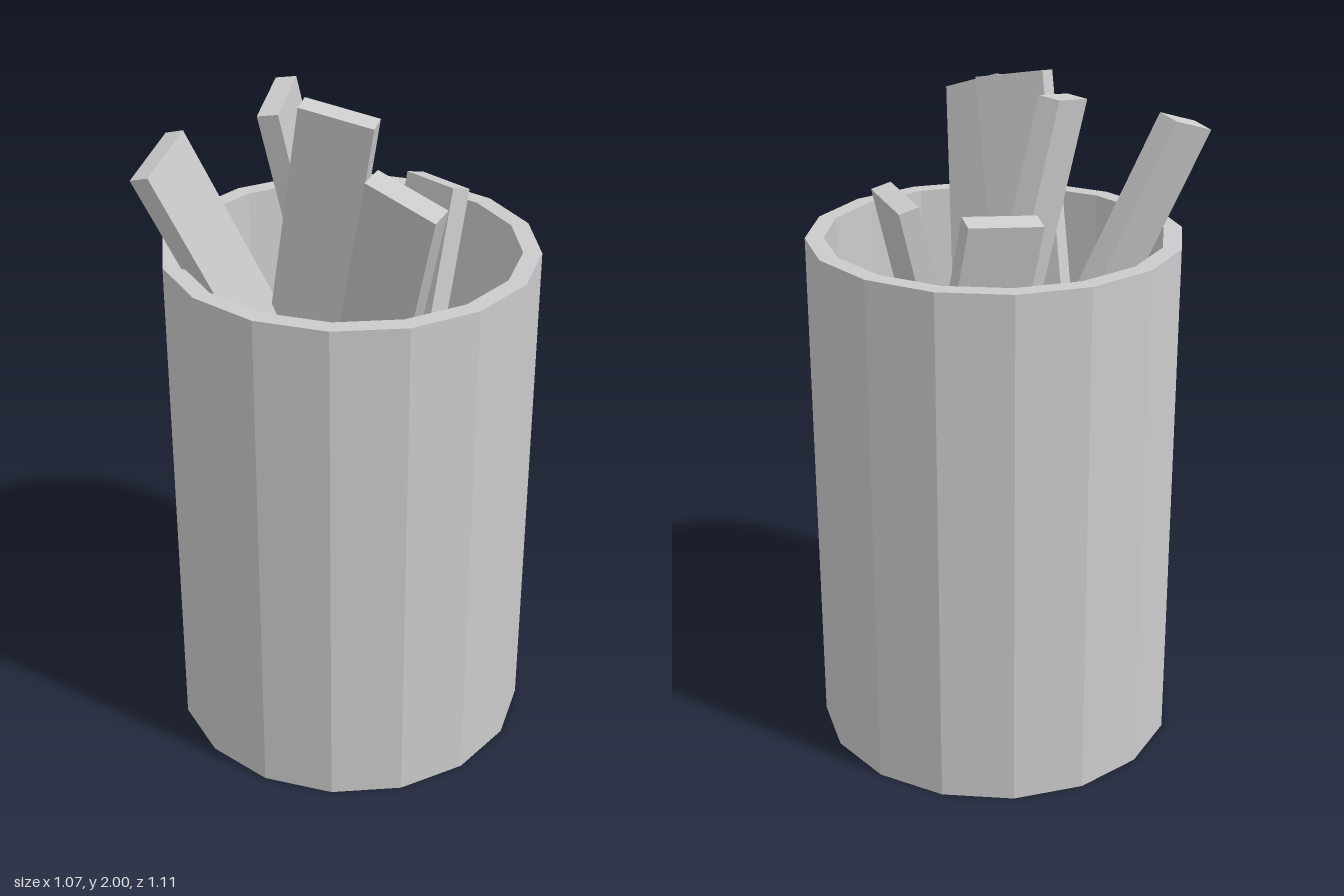
import * as THREE from 'three';

const material = new THREE.MeshStandardMaterial({ color: 0xcccccc, flatShading: true });

// Hollow 16-sided cup with a floor
function makeCup() {
  const outer = 0.537, inner = 0.484, height = 1.545, floor = 0.053;
  const profile = [[0, 0], [outer, 0], [outer, height], [inner, height], [inner, floor], [0, floor]]
    .map(([x, y]) => new THREE.Vector2(x, y));
  const cup = new THREE.Mesh(new THREE.LatheGeometry(profile, 16), material);
  cup.name = 'cup';
  cup.position.z = -0.021;
  return cup;
}

// Flat stick hanging down from its top centre. drop: offset from top to bottom;
// wide: horizontal heading [x, z] of the broad side.
const stickGeometry = new THREE.BoxGeometry(0.213, 1.68, 0.06);

function makeStick({ top, drop, wide }) {
  const down = new THREE.Vector3(...drop);
  const up = down.clone().negate().normalize();
  const side = new THREE.Vector3(wide[0], -(wide[0] * up.x + wide[1] * up.z) / up.y, wide[1]).normalize();
  const face = new THREE.Vector3().crossVectors(side, up);
  const stick = new THREE.Mesh(stickGeometry, material);
  stick.quaternion.setFromRotationMatrix(new THREE.Matrix4().makeBasis(side, up, face));
  stick.position.set(...top).addScaledVector(up, -0.84);
  return stick;
}

const sticks = [
  { name: 'tallStick', top: [0.07, 1.975, 0.075], drop: [-0.403, -1.63, -0.044], wide: [0.173, -0.12] },
  { name: 'leftStick', top: [0.43, 1.875, 0.15], drop: [-0.658, -1.519, -0.289], wide: [0.193, -0.074] },
  { name: 'frontStick', top: [-0.232, 1.86, 0.456], drop: [0.236, -1.525, -0.663], wide: [0.092, 0.177] },
  { name: 'middleStick', top: [-0.183, 1.957, 0.09], drop: [0.018, -1.63, -0.405], wide: [0.13, 0.163] },
  { name: 'rightStick', top: [-0.322, 1.683, -0.168], drop: [0.435, -1.62, -0.08], wide: [0.028, -0.205] },
  { name: 'backStick', top: [0.035, 1.677, -0.315], drop: [0.105, -1.62, 0.42], wide: [0.21, 0.014] },
];

export function createModel() {
  const model = new THREE.Group();
  model.name = 'cupOfSticks';
  model.add(makeCup());
  for (const spec of sticks) {
    const stick = makeStick(spec);
    stick.name = spec.name;
    model.add(stick);
  }
  return model;
}
